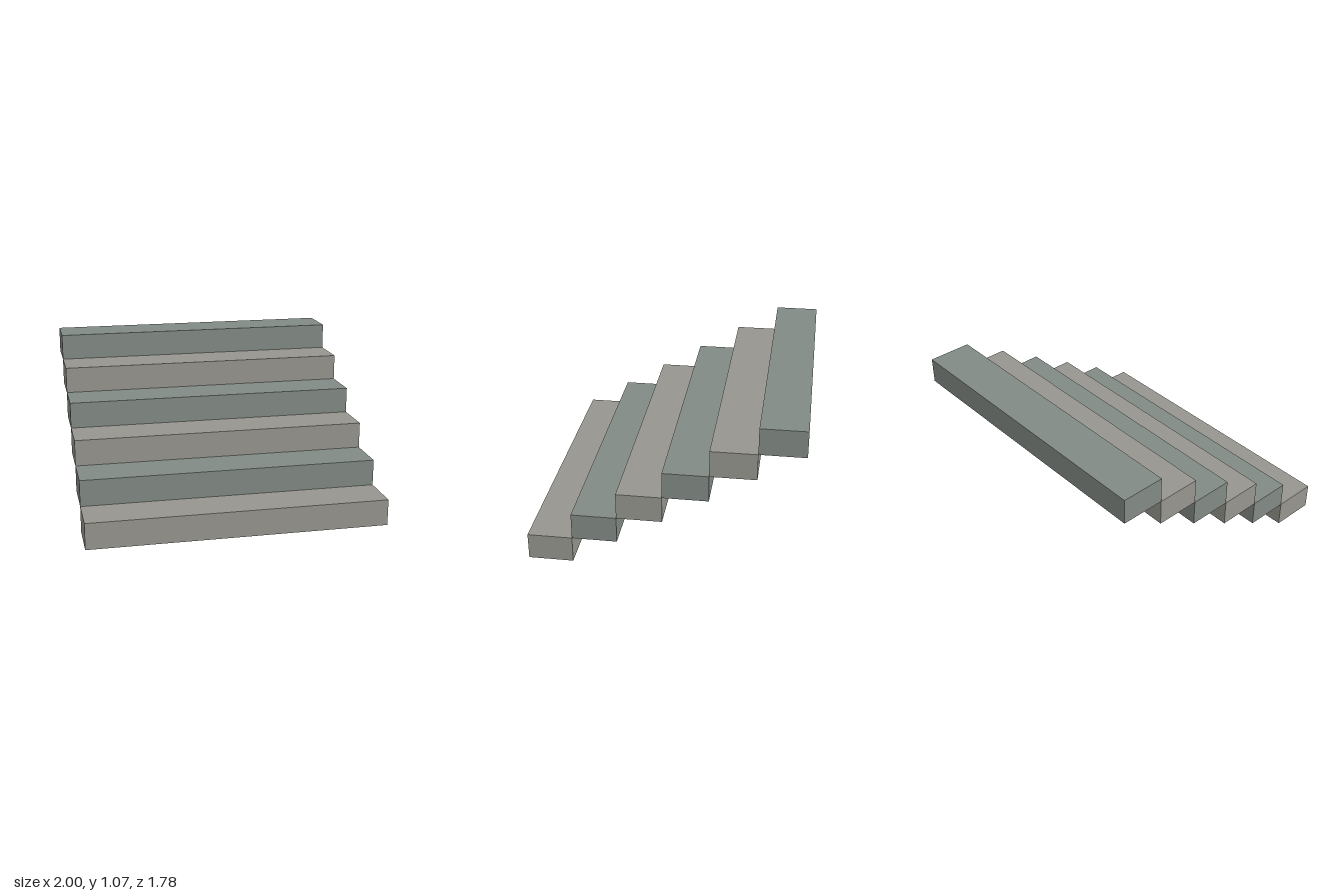
import * as THREE from 'three';

const STEPS = 6;
const WIDTH = 2;
const RISE = 1.068 / STEPS;
const RUN = 1.78 / STEPS;

export function createModel() {
  const stairs = new THREE.Group();
  stairs.name = 'stairs';

  const warmStone = new THREE.MeshStandardMaterial({ color: 0x96958e });
  const coolStone = new THREE.MeshStandardMaterial({ color: 0x828a85 });
  const block = new THREE.BoxGeometry(WIDTH, RISE, RUN);

  // Solid steps climbing from front to back, in alternating stone
  for (let i = 0; i < STEPS; i++) {
    const step = new THREE.Mesh(block, i % 2 ? coolStone : warmStone);
    step.name = `step${i + 1}`;
    step.position.set(0, (i + 0.5) * RISE, ((STEPS - 1) / 2 - i) * RUN);
    stairs.add(step);
  }
  return stairs;
}
